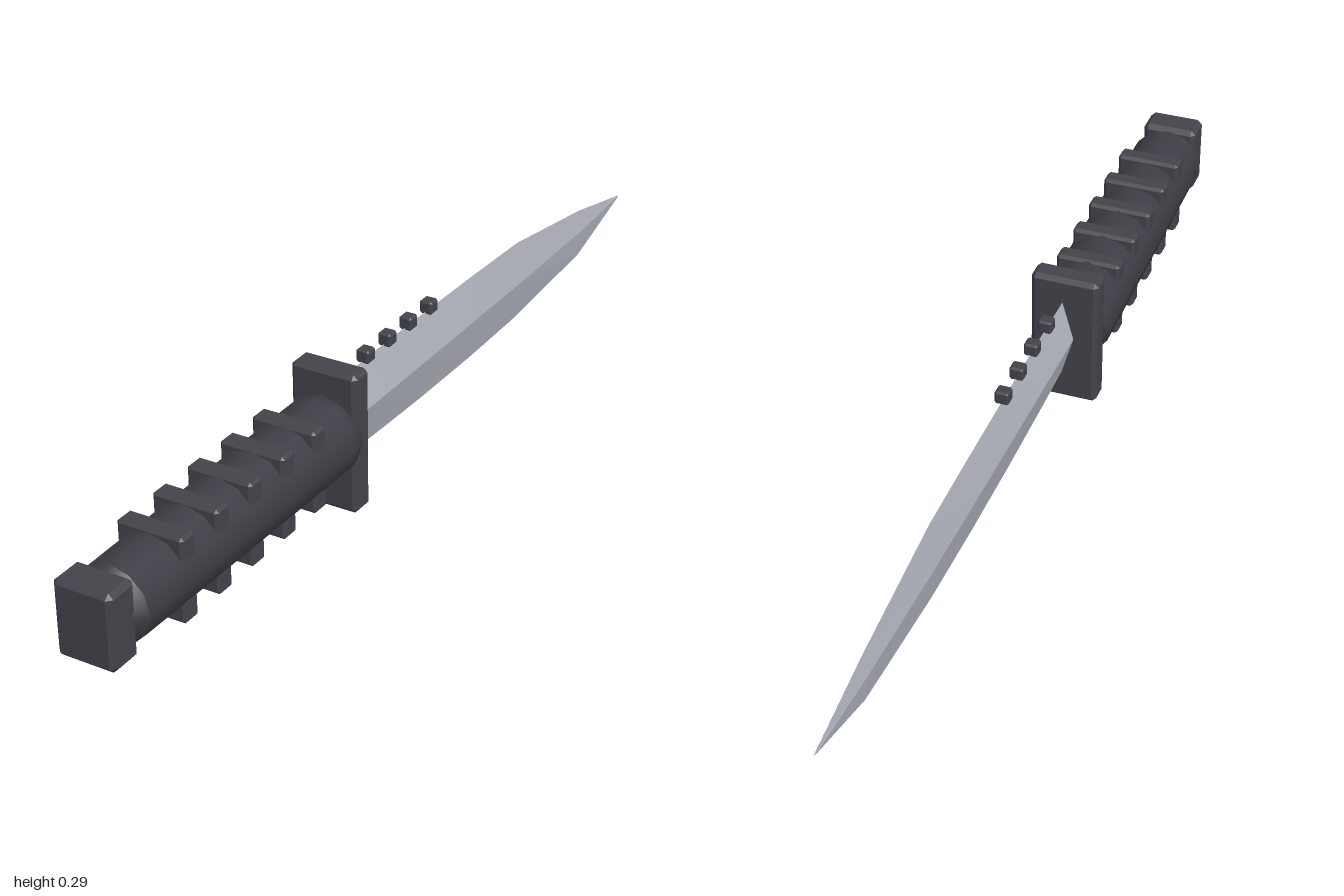
import * as THREE from 'three';
import { ConvexGeometry } from 'three/addons/geometries/ConvexGeometry.js';

const steel = new THREE.MeshStandardMaterial({ color: 0xb0b4be });
steel.name = 'blade steel';
const dark = new THREE.MeshStandardMaterial({ color: 0x43434b });
dark.name = 'dark fittings';
const rubber = new THREE.MeshStandardMaterial({ color: 0x3d3d45 });
rubber.name = 'grip rubber';

const MID = 0.158; // height of the knife's axis

// Box with every edge chamfered by c
function chamferBox(w, h, d, c) {
  const half = [w / 2, h / 2, d / 2];
  const points = [];
  for (const sx of [-1, 1]) for (const sy of [-1, 1]) for (const sz of [-1, 1]) {
    const s = [sx, sy, sz];
    for (let axis = 0; axis < 3; axis++) {
      points.push(new THREE.Vector3(...half.map((v, i) => s[i] * (i === axis ? v : v - c))));
    }
  }
  return new ConvexGeometry(points);
}

// Diamond cross-sections along z: [z, top, ridge, bottom, half thickness]
function bladeGeometry() {
  const sections = [
    [0.21, 0.243, 0.158, 0.072, 0.024],
    [0.08, 0.246, 0.158, 0.067, 0.023],
    [-0.1, 0.246, 0.157, 0.063, 0.021],
    [-0.3, 0.244, 0.157, 0.063, 0.019],
    [-0.5, 0.24, 0.156, 0.068, 0.016],
    [-0.8, 0.2, 0.155, 0.094, 0.009],
    [-1, 0.161, 0.159, 0.157, 0.001],
  ];
  const rings = sections.map(([z, top, mid, bottom, t]) =>
    [[0, top, z], [t, mid, z], [0, bottom, z], [-t, mid, z]]);
  const pos = [];
  const quad = (a, b, c, d) => pos.push(...a, ...b, ...c, ...a, ...c, ...d);
  for (let i = 0; i < rings.length - 1; i++) {
    for (let j = 0; j < 4; j++) {
      const k = (j + 1) % 4;
      quad(rings[i][j], rings[i][k], rings[i + 1][k], rings[i + 1][j]);
    }
  }
  const [t, r, b, l] = rings[0];
  quad(t, l, b, r);
  quad(...rings[rings.length - 1]);
  const geo = new THREE.BufferGeometry();
  geo.setAttribute('position', new THREE.Float32BufferAttribute(pos, 3));
  geo.computeVertexNormals();
  return geo;
}

export function createModel() {
  const knife = new THREE.Group();
  knife.name = 'knife';

  const add = (name, geometry, material, x, y, z) => {
    const mesh = new THREE.Mesh(geometry, material);
    mesh.name = name;
    mesh.position.set(x, y, z);
    knife.add(mesh);
    return mesh;
  };

  // Blade with its tang passing into the guard
  add('blade', bladeGeometry(), steel, 0, 0, 0);
  add('tang', new THREE.BoxGeometry(0.03, 0.05, 0.06), dark, 0, MID, 0.225);

  // Teeth along the spine
  const tooth = chamferBox(0.028, 0.028, 0.028, 0.004);
  for (let i = 0; i < 4; i++) add('spineTooth', tooth, dark, 0, 0.254, 0.115 - i * 0.08);

  // Cross guard
  add('guard', chamferBox(0.14, 0.29, 0.052, 0.009), dark, 0, 0.147, 0.243);

  // Twelve-sided grip: front collar, tapered body, narrowing end
  const gripPiece = (name, z0, r0, z1, r1) => {
    const geo = new THREE.CylinderGeometry(r1, r0, z1 - z0, 12);
    add(name, geo, rubber, 0, MID, (z0 + z1) / 2).rotation.x = Math.PI / 2;
  };
  gripPiece('gripCollar', 0.255, 0.077, 0.285, 0.083);
  gripPiece('grip', 0.285, 0.083, 0.92, 0.076);
  gripPiece('gripEnd', 0.92, 0.076, 0.955, 0.055);

  // Finger ridges above and below the grip
  const ridge = chamferBox(0.134, 0.05, 0.04, 0.006);
  for (let i = 0; i < 5; i++) {
    for (const side of [-1, 1]) {
      add(side > 0 ? 'upperRidge' : 'lowerRidge', ridge, dark, 0, MID + side * 0.059, 0.385 + i * 0.102);
    }
  }

  // Pommel
  add('pommel', chamferBox(0.118, 0.152, 0.07, 0.01), dark, 0, MID, 0.965);

  return knife;
}
